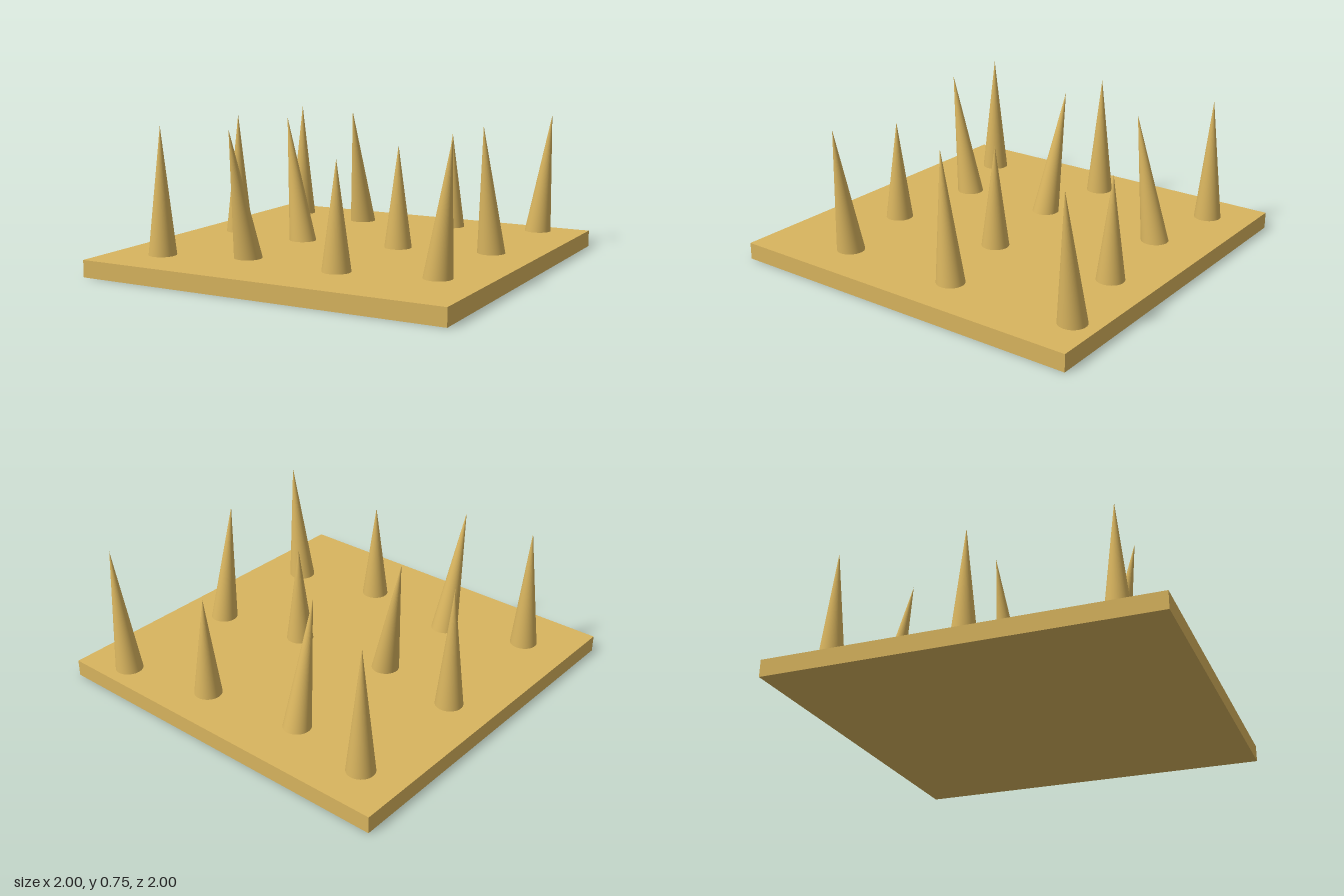
import * as THREE from 'three';

const PLATE = 0.09; // plate thickness
const RADIUS = 0.073; // spike base radius

// base x, base z, tip x, tip z, tip height
const SPIKES = [
  [-0.76, -0.76, -0.76, -0.76, 0.755],
  [-0.76, -0.05, -0.76, -0.05, 0.755],
  [-0.73, 0.70, -0.73, 0.70, 0.755],
  [-0.30, -0.69, -0.30, -0.56, 0.755],
  [-0.30, 0.015, -0.42, -0.03, 0.755],
  [-0.30, 0.555, -0.32, 0.685, 0.755],
  [0.25, -0.76, 0.25, -0.76, 0.635],
  [0.25, -0.05, 0.25, -0.05, 0.635],
  [0.25, 0.62, 0.25, 0.62, 0.635],
  [0.74, -0.865, 0.812, -0.86, 0.755],
  [0.74, -0.15, 0.715, -0.08, 0.755],
  [0.74, 0.52, 0.812, 0.535, 0.755],
];

// Cone with a level base, sheared so its tip leans to one side
function spikeGeometry(leanX, leanZ, height) {
  const geometry = new THREE.ConeGeometry(RADIUS, height, 48, 1, true);
  geometry.translate(0, height / 2, 0);
  const shear = new THREE.Matrix4().set(
    1, leanX / height, 0, 0,
    0, 1, 0, 0,
    0, leanZ / height, 1, 0,
    0, 0, 0, 1,
  );
  return geometry.applyMatrix4(shear);
}

export function createModel() {
  const model = new THREE.Group();
  model.name = 'spikeTrap';
  const sand = new THREE.MeshStandardMaterial({ color: 0xd8b45e });
  sand.name = 'sand';

  // Square plate
  const plate = new THREE.Mesh(new THREE.BoxGeometry(2, PLATE, 2), sand);
  plate.name = 'plate';
  plate.position.y = PLATE / 2;
  model.add(plate);

  // Spikes standing on the plate
  const spikes = new THREE.Group();
  spikes.name = 'spikes';
  SPIKES.forEach(([x, z, tipX, tipZ, tipY], i) => {
    const spike = new THREE.Mesh(spikeGeometry(tipX - x, tipZ - z, tipY - PLATE), sand);
    spike.name = `spike${i + 1}`;
    spike.position.set(x, PLATE, z);
    spikes.add(spike);
  });
  model.add(spikes);

  return model;
}
